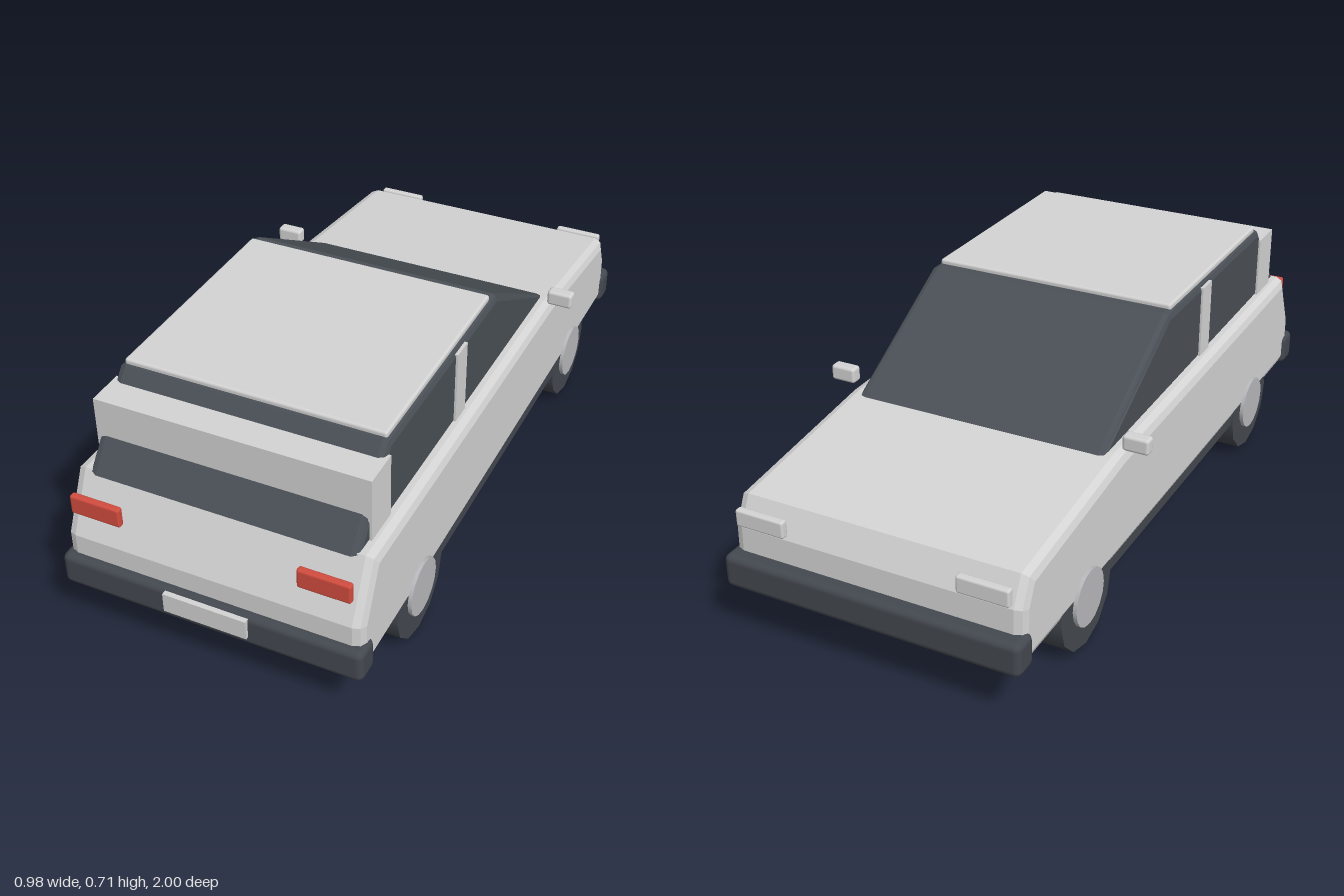
import * as THREE from 'three';
import { RoundedBoxGeometry } from 'three/addons/geometries/RoundedBoxGeometry.js';

const mat = (name, color) => Object.assign(new THREE.MeshStandardMaterial({ color }), { name });

export function createModel() {
  const car = new THREE.Group();
  car.name = 'car';
  const paint = mat('lightGreyPaint', 0xd4d4d4);
  const glass = mat('darkGlass', 0x4a5056);
  const trim = mat('darkTrim', 0x444950);
  const steel = mat('hubSteel', 0xb9babd);
  const red = mat('tailRed', 0xd24c3f);

  const add = (name, geometry, material, x = 0, y = 0, z = 0) => {
    const mesh = new THREE.Mesh(geometry, material);
    mesh.name = name;
    mesh.position.set(x, y, z);
    car.add(mesh);
    return mesh;
  };
  // Box given by its extents, with optional rounded edges
  const block = (name, material, [x0, x1], [y0, y1], [z0, z1], r = 0) => {
    const size = [x1 - x0, y1 - y0, z1 - z0];
    const geo = r ? new RoundedBoxGeometry(...size, 2, r) : new THREE.BoxGeometry(...size);
    return add(name, geo, material, (x0 + x1) / 2, (y0 + y1) / 2, (z0 + z1) / 2);
  };
  // Side outline of [z, y] points, extruded across the car with bevelled edges
  const hull = (name, material, points, halfWidth, bevel) => {
    const shape = new THREE.Shape(points.map(([z, y]) => new THREE.Vector2(-z, y)));
    const geo = new THREE.ExtrudeGeometry(shape, {
      depth: 2 * (halfWidth - bevel), bevelEnabled: true, bevelSize: bevel,
      bevelThickness: bevel, bevelOffset: -bevel, bevelSegments: 2,
    });
    geo.translate(0, 0, -(halfWidth - bevel));
    geo.rotateY(Math.PI / 2);
    return add(name, geo, material);
  };

  // Lower body
  hull('body', paint, [
    [0.95, 0.155], [0.965, 0.2], [0.965, 0.31], [0.885, 0.478], [-0.39, 0.461],
    [-0.915, 0.4], [-0.955, 0.32], [-0.96, 0.155],
  ], 0.425, 0.028);
  block('underside', trim, [-0.42, 0.42], [0.136, 0.19], [-0.62, 0.62]);

  // Cabin glass, roof and pillars
  hull('cabinGlass', glass, [
    [0.895, 0.47], [0.715, 0.698], [-0.005, 0.698], [-0.425, 0.455],
  ], 0.382, 0.02);
  block('roof', paint, [-0.37, 0.37], [0.69, 0.712], [0.025, 0.705], 0.008);
  block('rearPillar', paint, [-0.388, 0.388], [0.46, 0.662], [0.72, 0.83]);

  // Bumpers and number plate
  block('rearBumper', trim, [-0.435, 0.435], [0.152, 0.25], [0.91, 0.99], 0.02);
  block('frontBumper', trim, [-0.435, 0.435], [0.152, 0.25], [-1, -0.92], 0.02);
  block('numberPlate', paint, [-0.12, 0.12], [0.185, 0.243], [0.985, 1]);

  for (const s of [-1, 1]) {
    const side = s > 0 ? 'left' : 'right';
    const span = (a, b) => (s > 0 ? [a, b] : [-b, -a]);
    block(side + 'MiddlePillar', paint, span(0.36, 0.388), [0.46, 0.686], [0.23, 0.297]);
    block(side + 'TailLight', red, span(0.25, 0.397), [0.388, 0.446], [0.947, 0.968], 0.007);
    block(side + 'Headlight', paint, span(0.25, 0.397), [0.335, 0.385], [-0.976, -0.953], 0.007);
    block(side + 'Mirror', paint, span(0.416, 0.492), [0.471, 0.517], [-0.392, -0.355], 0.009);

    // Wheels
    for (const [end, z] of [['Rear', 0.605], ['Front', -0.608]]) {
      const tyre = new THREE.CylinderGeometry(0.148, 0.148, 0.114, 12).rotateZ(Math.PI / 2);
      add(side + end + 'Tyre', tyre, trim, s * 0.367, 0.148, z).material.flatShading = true;
      const hub = new THREE.CylinderGeometry(0.082, 0.082, 0.02, 16).rotateZ(Math.PI / 2);
      add(side + end + 'Hub', hub, steel, s * 0.425, 0.15, z);
    }
  }
  trim.flatShading = false;
  return car;
}
